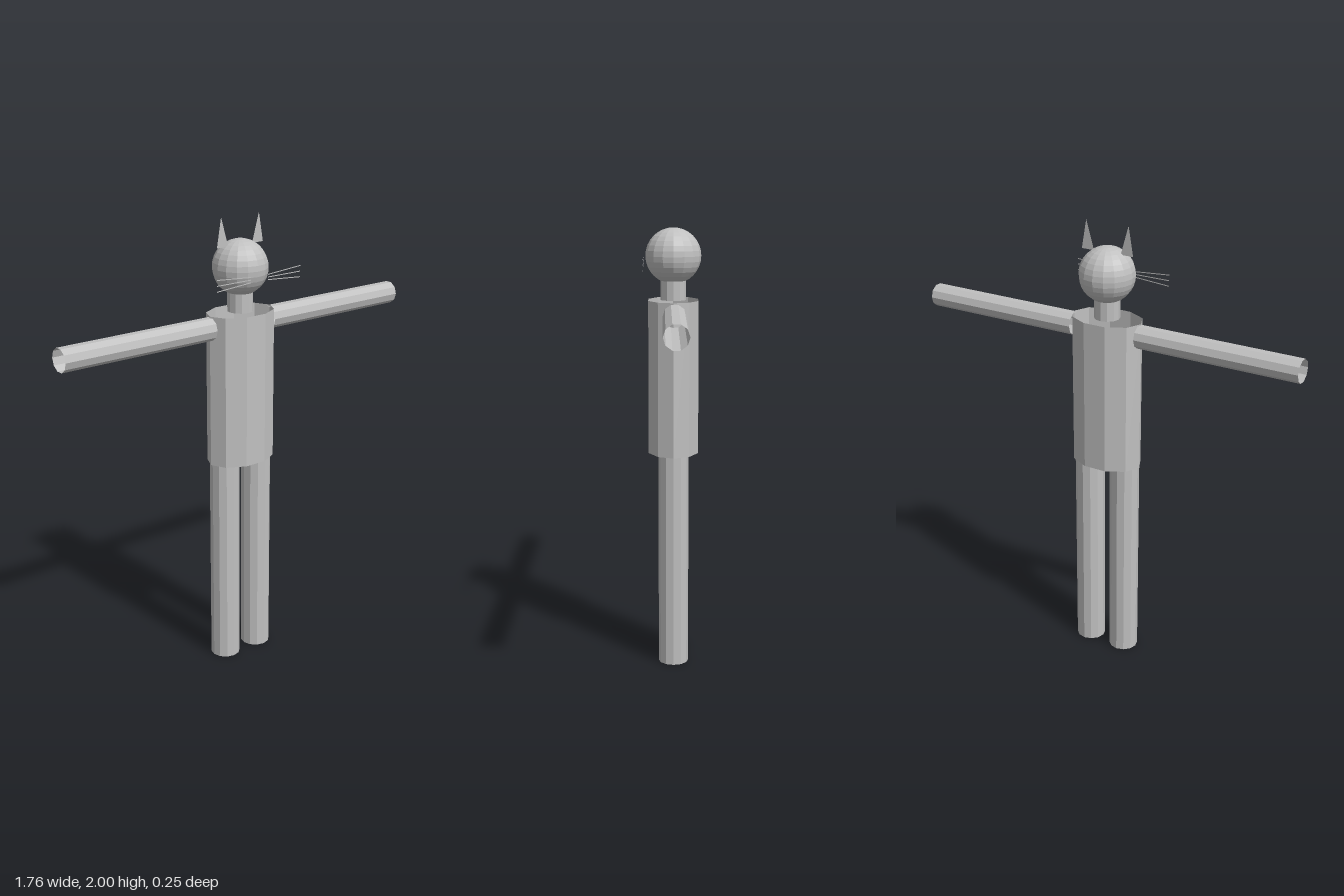
import * as THREE from 'three';

export function createModel() {
  const model = new THREE.Group();
  const grey = new THREE.MeshStandardMaterial({ color: 0xc0c0c0, flatShading: true, side: THREE.DoubleSide });
  grey.name = 'plain grey';
  const Z = -0.005; // body axis depth

  function add(name, geometry, x, y, z) {
    const mesh = new THREE.Mesh(geometry, grey);
    mesh.name = name;
    mesh.position.set(x, y, z);
    model.add(mesh);
    return mesh;
  }

  // Open tube with a corner facing +x
  function tube(radius, length, sides) {
    return new THREE.CylinderGeometry(radius, radius, length, sides, 1, true).rotateY(Math.PI / 2);
  }

  // Flat sheet from a few outline points
  function sheet(points) {
    return new THREE.ShapeGeometry(new THREE.Shape(points.map(([x, y]) => new THREE.Vector2(x, y))));
  }

  // Head, neck and oval torso
  add('head', new THREE.SphereGeometry(0.119, 16, 16), 0, 1.782, Z);
  add('neck', tube(0.055, 0.12, 12), 0, 1.655, Z);
  add('torso', tube(0.161, 0.66, 10).scale(1, 1, 0.7), 0, 1.265, Z);

  for (const side of [-1, 1]) {
    const label = side > 0 ? 'left' : 'right';

    // Open limbs
    add(label + 'Leg', tube(0.065, 0.937, 12), side * 0.087, 0.4685, Z);
    const arm = new THREE.CylinderGeometry(0.05, 0.05, 0.725, 10, 1, true).rotateZ(Math.PI / 2);
    add(label + 'Arm', arm, side * 0.5175, 1.541, -0.009);

    // Flat pointed ear
    add(label + 'Ear', sheet([[side * 0.063, 1.874], [side * 0.121, 1.874], [side * 0.099, 2]]), 0, 0, Z);

    // Three thin whiskers fanning outward
    for (const i of [-1, 0, 1]) {
      const inner = 1.755 + i * 0.011, outer = 1.755 + i * 0.024, h = 0.002;
      add(label + 'Whisker', sheet([
        [side * 0.045, inner - h], [side * 0.22, outer - h],
        [side * 0.22, outer + h], [side * 0.045, inner + h],
      ]), 0, 0, 0.122);
    }
  }
  return model;
}
